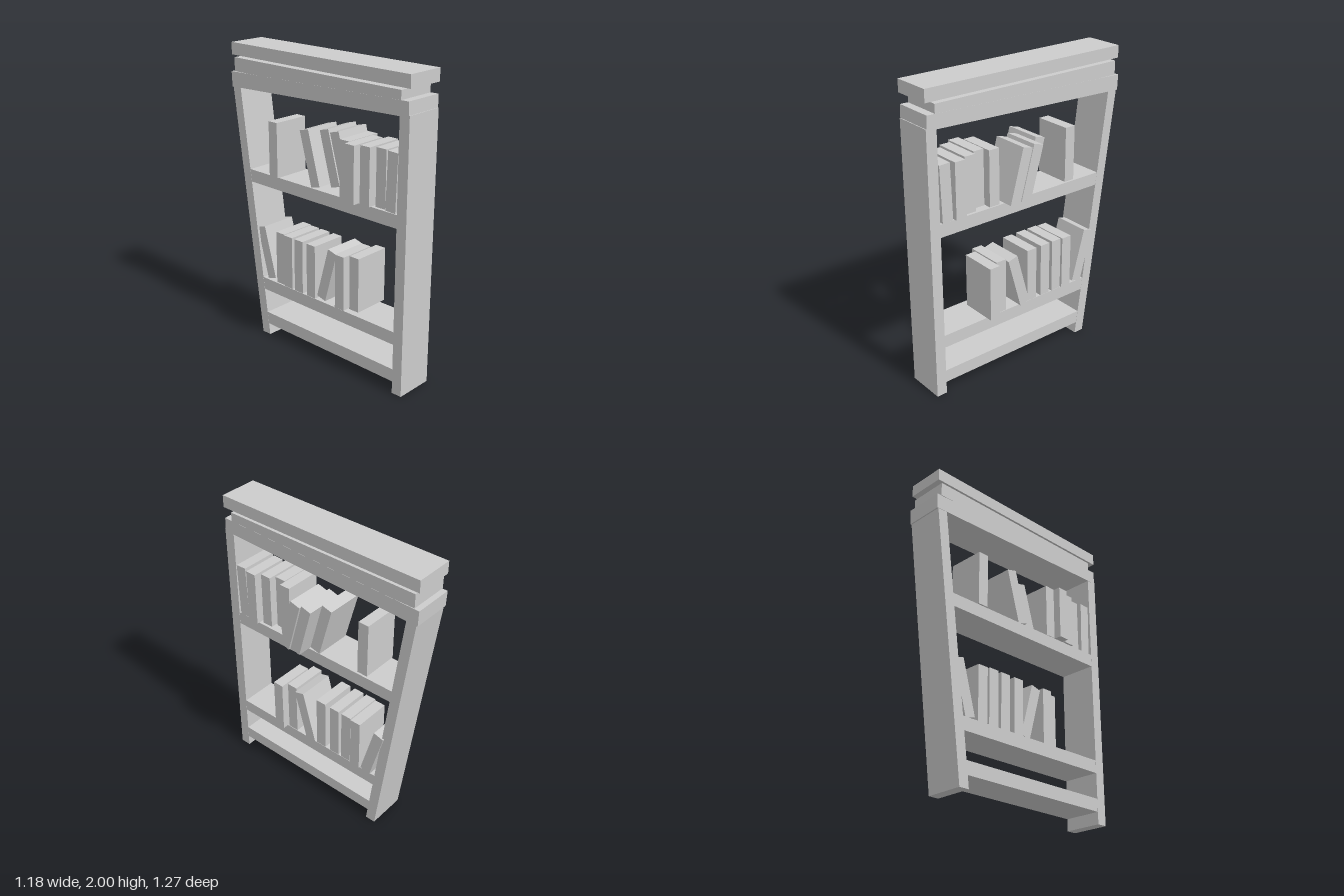
import * as THREE from 'three';

const DEPTH = 0.26;
const BOOK = { w: 0.074, h: 0.365, d: 0.253 };

export function createModel() {
  const model = new THREE.Group();
  const bookcase = new THREE.Group();
  bookcase.name = 'bookcase';
  bookcase.rotation.y = -0.84; // the whole case stands diagonally
  model.add(bookcase);

  const material = new THREE.MeshStandardMaterial({ color: 0xcccccc, flatShading: true });

  // A board drawn as a four-cornered outline in x/y, centred in depth
  function board(name, corners, depth = DEPTH) {
    const shape = new THREE.Shape(corners.map(([x, y]) => new THREE.Vector2(x, y)));
    const geometry = new THREE.ExtrudeGeometry(shape, { depth, bevelEnabled: false });
    geometry.translate(0, 0, -depth / 2);
    const mesh = new THREE.Mesh(geometry, material);
    mesh.name = name;
    bookcase.add(mesh);
  }
  const rect = (x0, x1, y0, y1) => [[x0, y0], [x1, y0], [x1, y1], [x0, y1]];

  // Side posts: one upright, one splayed outwards
  board('straightPost', rect(0.664, 0.735, 0, 1.77));
  board('slantedPost', [[-0.505, 0], [-0.435, 0], [-0.663, 1.73], [-0.732, 1.73]]);

  // Top: tilted beam, middle board and cap
  board('tiltedBeam', [[-0.738, 1.71], [0.73, 1.76], [0.727, 1.85], [-0.742, 1.81]], 0.264);
  board('middleBoard', rect(-0.71, 0.672, 1.815, 1.905), 0.262);
  board('topBoard', rect(-0.735, 0.735, 1.92, 2.0));

  // Shelves reach from the inside of the slanted post to the straight post
  const innerX = (y) => -0.437 - 0.132 * y;
  for (const [name, y0, y1] of [
    ['bottomRail', 0.08, 0.165],
    ['lowerShelf', 0.335, 0.42],
    ['upperShelf', 1.09, 1.175],
  ]) {
    board(name, [[innerX(y0), y0], [0.666, y0], [0.666, y1], [innerX(y1), y1]], 0.258);
  }

  // Books: [x of the left side at the foot, how far the spine sits back, lean]
  // A positive lean tips the top to -x, a negative one to +x
  const rows = [
    ['upperBook', 1.175, [
      [-0.392, 0.114, 0], [-0.03, 0.13, 0.27], [0.057, 0.218, 0.27], [0.142, 0.22, 0.27],
      [0.22, 0.12, 0], [0.3, 0.073, 0], [0.39, 0.11, 0], [0.485, 0.145, 0], [0.572, 0.13, -0.03],
    ]],
    ['lowerBook', 0.42, [
      [-0.455, 0.14, 0.27], [-0.365, 0.135, 0], [-0.283, 0.127, 0], [-0.186, 0.127, 0],
      [-0.074, 0.127, 0], [0.0, 0.145, -0.27], [0.178, 0.125, 0], [0.262, 0.17, 0],
    ]],
  ];
  for (const [name, y, books] of rows) {
    for (const [x, back, lean] of books) {
      const side = lean < 0 ? -1 : 1; // pivot on the lower corner it leans over
      const geometry = new THREE.BoxGeometry(BOOK.w, BOOK.h, BOOK.d);
      geometry.translate((side * BOOK.w) / 2, BOOK.h / 2, 0);
      const book = new THREE.Mesh(geometry, material);
      book.name = name;
      book.position.set(side < 0 ? x + BOOK.w : x, y, BOOK.d / 2 - back);
      book.rotation.z = lean;
      bookcase.add(book);
    }
  }
  return model;
}
